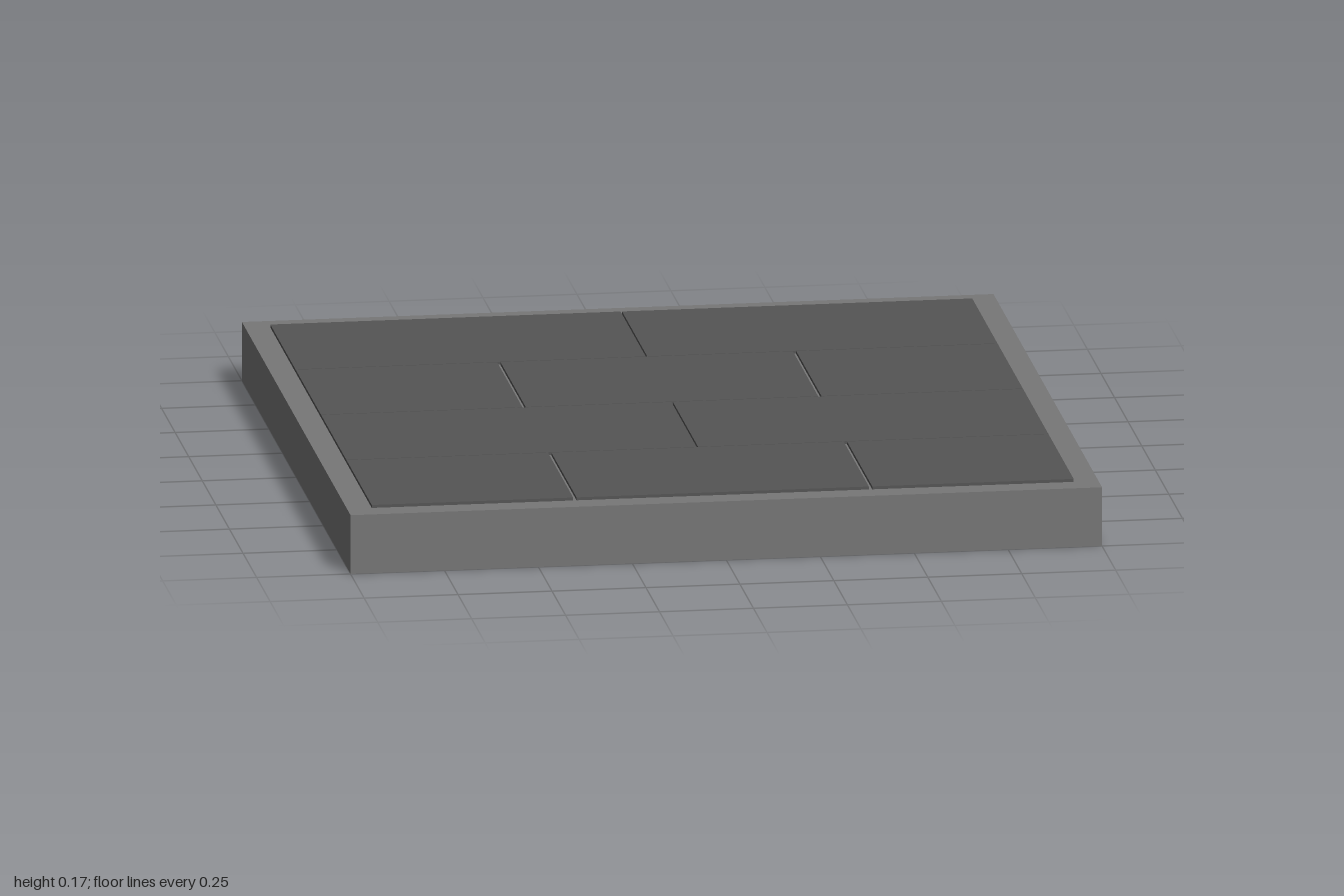
import * as THREE from 'three';

const SLAB_H = 0.16, TILE_TOP = 0.168, HALF = 0.934, ROWS = 4, ROW_GAP = 0.004;

// Box given by its x and z ranges, standing between y0 and y1
function block(name, material, [x0, x1], [y0, y1], [z0, z1]) {
  const mesh = new THREE.Mesh(new THREE.BoxGeometry(x1 - x0, y1 - y0, z1 - z0), material);
  mesh.position.set((x0 + x1) / 2, (y0 + y1) / 2, (z0 + z1) / 2);
  mesh.name = name;
  return mesh;
}

export function createModel() {
  const model = new THREE.Group();
  model.name = 'pavedFloor';
  const slabMaterial = new THREE.MeshStandardMaterial({ color: 0x777777 });
  const tileMaterial = new THREE.MeshStandardMaterial({ color: 0x555555 });

  // Base slab, showing as a border around the tiles
  model.add(block('baseSlab', slabMaterial, [-1, 1], [0, SLAB_H], [-1, 1]));

  // Thin tiles in running bond: rows of two alternate with rows of three
  const twoTiles = [[-HALF, -0.002], [0.002, HALF]];
  const threeTiles = [[-HALF, -0.398], [-0.389, 0.389], [0.398, HALF]];
  const tiles = new THREE.Group();
  tiles.name = 'tiles';
  const pitch = (2 * HALF + ROW_GAP) / ROWS;
  for (let row = 0; row < ROWS; row++) {
    const z0 = -HALF + row * pitch;
    for (const xRange of row % 2 ? threeTiles : twoTiles) {
      // Sunk slightly into the slab so no faces coincide
      tiles.add(block('tile', tileMaterial, xRange, [SLAB_H - 0.02, TILE_TOP], [z0, z0 + pitch - ROW_GAP]));
    }
  }
  model.add(tiles);
  return model;
}
